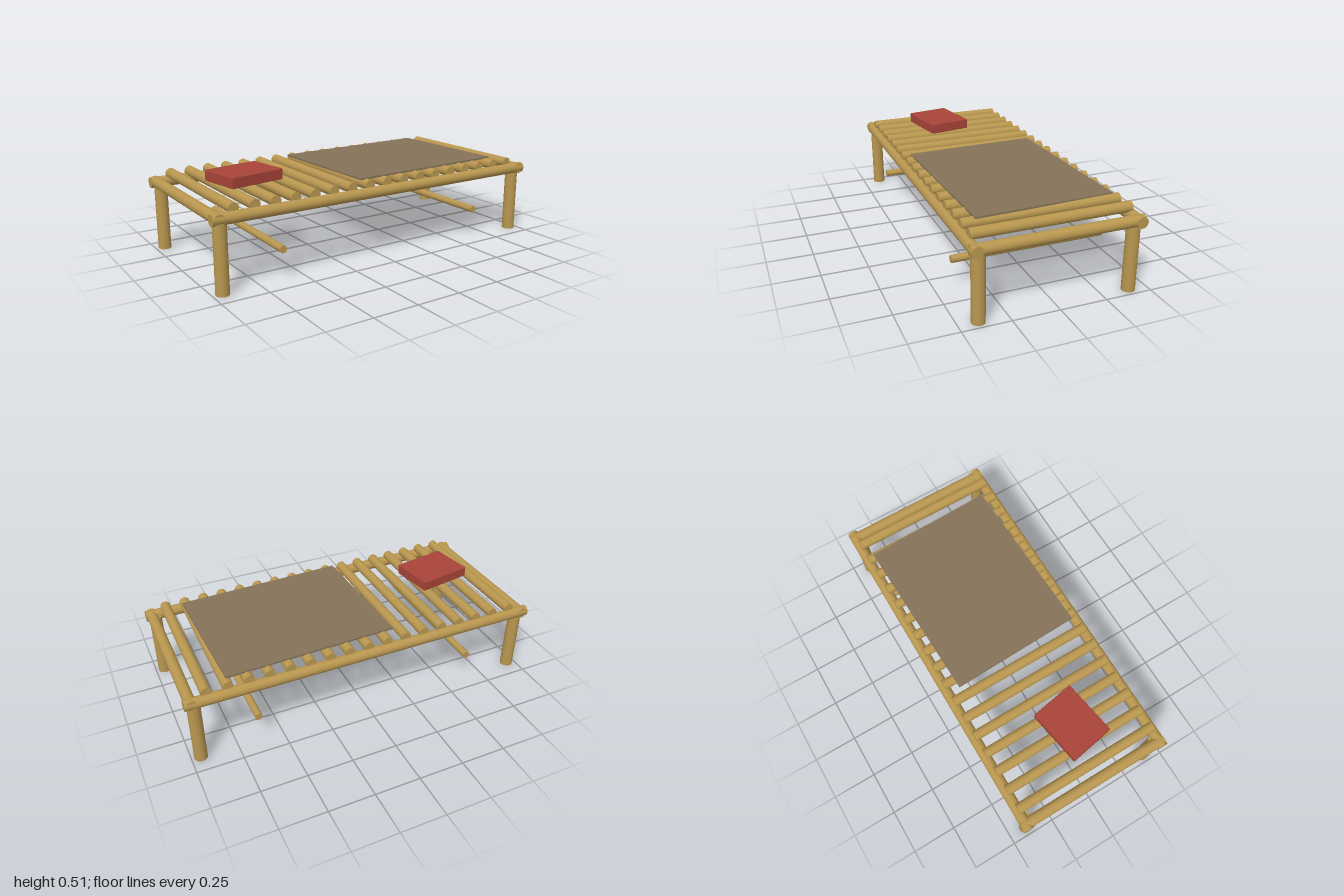
import * as THREE from 'three';
import { RoundedBoxGeometry } from 'three/addons/geometries/RoundedBoxGeometry.js';

export function createModel() {
  const group = new THREE.Group();
  const wood = new THREE.MeshStandardMaterial({ color: 0xb8964f });
  const cloth = new THREE.MeshStandardMaterial({ color: 0x857358 });
  const red = new THREE.MeshStandardMaterial({ color: 0xa84438 });

  const add = (name, geometry, material, x, y, z) => {
    const mesh = new THREE.Mesh(geometry, material);
    mesh.name = name;
    mesh.position.set(x, y, z);
    group.add(mesh);
    return mesh;
  };

  // Round pole lying along the given axis
  const pole = (name, axis, radius, length, x, y, z) => {
    const geometry = new THREE.CylinderGeometry(radius, radius, length, 24);
    if (axis === 'x') geometry.rotateZ(Math.PI / 2);
    if (axis === 'z') geometry.rotateX(Math.PI / 2);
    return add(name, geometry, wood, x, y, z);
  };

  for (const side of [-1, 1]) {
    // Frame and low cross bars
    pole('longRail', 'x', 0.03, 2, 0, 0.38, side * 0.42);
    pole('endRail', 'z', 0.03, 0.89, side * 0.965, 0.38, 0);
    pole('crossBar', 'z', 0.02, 0.84, side * 0.63, 0.17, 0);
    // Legs, running up into the frame
    for (const end of [-1, 1]) {
      pole('leg', 'y', 0.035, 0.38, side * 0.95, 0.19, end * 0.4);
    }
  }

  // Slats resting in the long rails
  const slats = 17;
  for (let i = 0; i < slats; i++) {
    const x = (i - (slats - 1) / 2) * 0.1104;
    pole('slat', 'z', 0.028, 0.84, x, 0.421, 0);
  }

  // Blanket and pillow, laid slightly askew
  const blanket = add('blanket', new THREE.BoxGeometry(0.947, 0.01, 0.74), cloth, 0.312, 0.45, 0);
  blanket.rotation.y = 0.033;
  const pillow = add('pillow', new RoundedBoxGeometry(0.314, 0.058, 0.25, 2, 0.004), red, -0.655, 0.477, 0.052);
  pillow.rotation.y = 0.17;

  return group;
}
